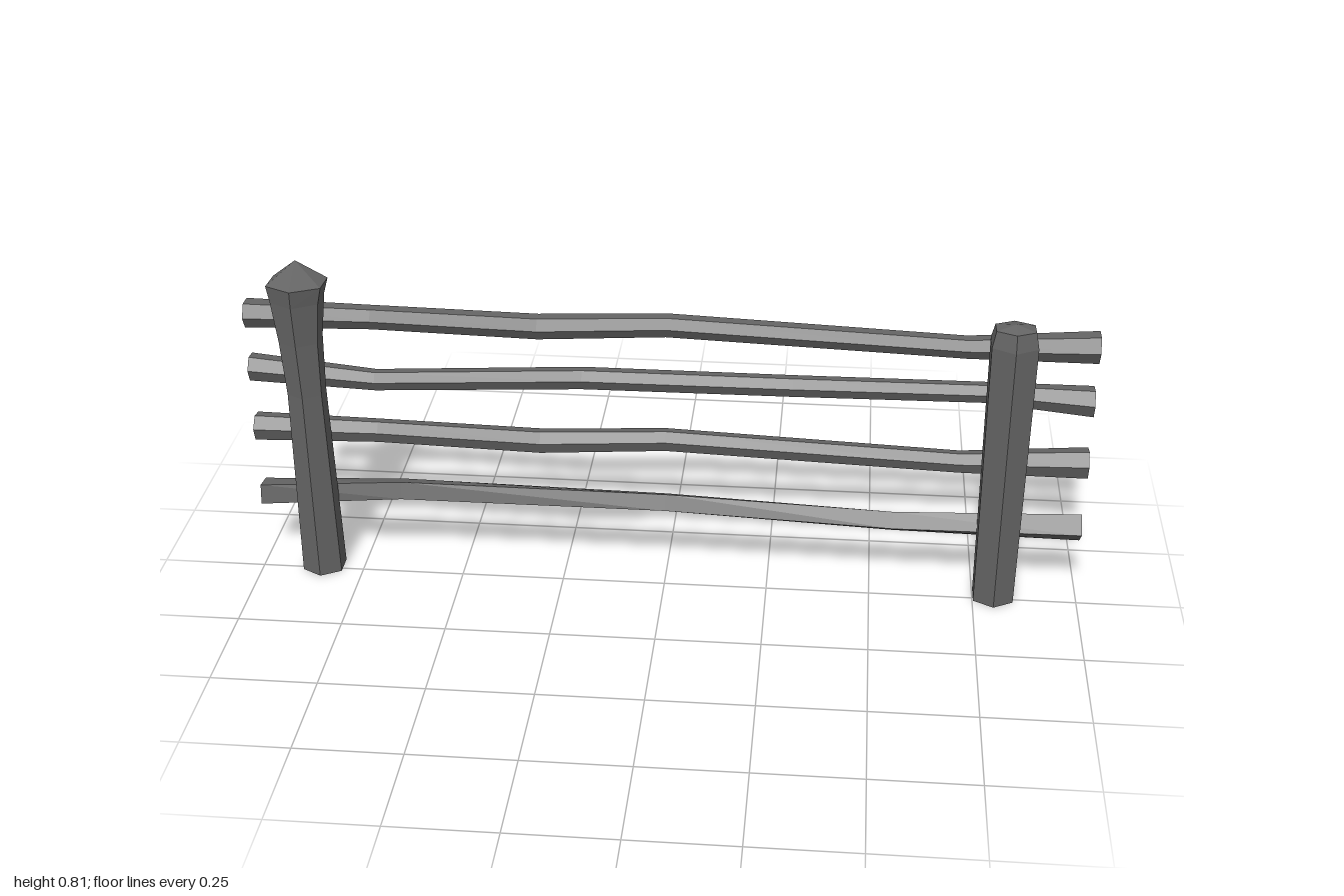
import * as THREE from 'three';

const wood = new THREE.MeshStandardMaterial({ color: 0x666666, flatShading: true });
wood.name = 'dark grey wood';

// Joins equal-sided rings into a solid, closing each end with a fan to a tip point.
function loft(name, rings, startTip, endTip) {
  const pos = [];
  const tri = (...pts) => pts.forEach((p) => pos.push(p.x, p.y, p.z));
  const n = rings[0].length;
  const last = rings[rings.length - 1];
  for (let k = 0; k < n; k++) {
    const j = (k + 1) % n;
    for (let i = 0; i < rings.length - 1; i++) {
      const lo = rings[i], hi = rings[i + 1];
      tri(lo[k], lo[j], hi[j]);
      tri(lo[k], hi[j], hi[k]);
    }
    tri(startTip, rings[0][j], rings[0][k]);
    tri(endTip, last[k], last[j]);
  }
  const geo = new THREE.BufferGeometry();
  geo.setAttribute('position', new THREE.Float32BufferAttribute(pos, 3));
  geo.computeVertexNormals();
  const mesh = new THREE.Mesh(geo, wood);
  mesh.name = name;
  return mesh;
}

// Leaning six-sided post; sections are [x, y, z, radius, rise toward the back].
function post(name, sections, tip) {
  const rings = sections.map(([x, y, z, r, tilt = 0]) =>
    Array.from({ length: 6 }, (_, k) => {
      const a = (k * Math.PI) / 3;
      return new THREE.Vector3(x + r * Math.sin(a), y - tilt * Math.cos(a), z + r * Math.cos(a));
    }));
  const [x, y, z] = sections[0];
  return loft(name, rings, new THREE.Vector3(x, y, z), new THREE.Vector3(...tip));
}

// Crooked rail along x; sections are [x, y, z, radius].
function rail(name, sections, sides, phase, twist = 0) {
  const rings = sections.map(([x, y, z, r], i) =>
    Array.from({ length: sides }, (_, k) => {
      const a = (k * 2 * Math.PI) / sides + phase + twist * (sections.length - 1 - i);
      return new THREE.Vector3(x, y + r * Math.cos(a), z + r * Math.sin(a));
    }));
  const centre = (s) => new THREE.Vector3(s[0], s[1], s[2]);
  return loft(name, rings, centre(sections[0]), centre(sections[sections.length - 1]));
}

export function createModel() {
  const group = new THREE.Group();
  group.name = 'fence';

  // Posts: one with a flared head, one plain with a blunt point
  group.add(post('flaredPost', [
    [-0.85, 0, -0.015, 0.055],
    [-0.85, 0.5, 0.016, 0.047],
    [-0.852, 0.64, 0.023, 0.053],
    [-0.852, 0.745, 0.025, 0.065],
    [-0.85, 0.785, 0.025, 0.074, -0.005],
  ], [-0.865, 0.815, -0.03]));
  group.add(post('plainPost', [
    [0.8, 0, -0.015, 0.055],
    [0.8, 0.7, 0.028, 0.061],
    [0.8, 0.738, 0.03, 0.052, -0.005],
  ], [0.8, 0.75, 0.035]));

  // Upper and middle rails share the same bends
  [['topRail', 0.665, Math.PI / 6], ['lowerMiddleRail', 0.363, 0.35]].forEach(([name, y, phase]) => {
    group.add(rail(name, [
      [-1, y + 0.002, -0.05, 0.035],
      [-0.7, y - 0.002, -0.06, 0.029],
      [-0.3, y + 0.002, -0.034, 0.03],
      [0, y + 0.008, -0.055, 0.028],
      [0.7, y - 0.023, -0.064, 0.027],
      [1, y - 0.002, -0.045, 0.038],
    ], 6, phase));
  });
  group.add(rail('upperMiddleRail', [
    [-1, 0.525, -0.05, 0.034],
    [-0.7, 0.498, -0.06, 0.026],
    [-0.2, 0.527, -0.055, 0.027],
    [0.3, 0.528, -0.055, 0.026],
    [0.75, 0.53, -0.058, 0.025],
    [1, 0.521, -0.05, 0.037],
  ], 6, 0.42));

  // Bottom rail is squarer and slightly twisted
  group.add(rail('bottomRail', [
    [-1, 0.182, -0.052, 0.035],
    [-0.65, 0.203, -0.055, 0.03],
    [0, 0.2, -0.052, 0.028],
    [0.55, 0.174, -0.055, 0.029],
    [1, 0.179, -0.055, 0.037],
  ], 4, 0.05, 0.15));

  return group;
}
